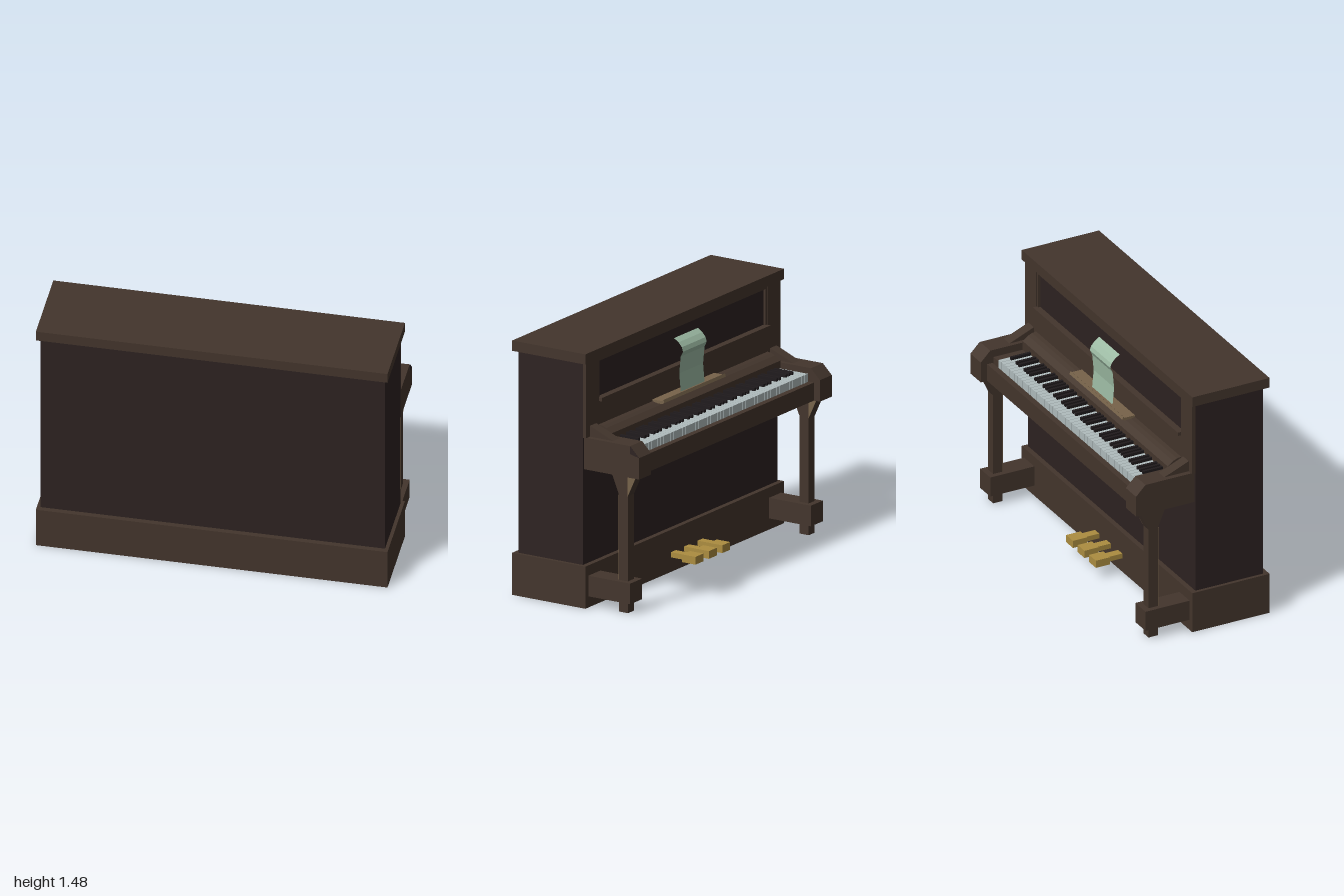
import * as THREE from 'three';

const mat = (name, color) => {
  const m = new THREE.MeshStandardMaterial({ color });
  m.name = name;
  return m;
};

export function createModel() {
  const root = new THREE.Group();
  root.name = 'uprightPiano';
  const brown = mat('brownWood', 0x43352c);
  const dark = mat('darkWood', 0x2d2221);
  const tan = mat('paleWood', 0x77634a);
  const ivory = mat('ivory', 0xb0bcbd);
  const ebony = mat('ebony', 0x1f1a1c);
  const gold = mat('brass', 0xac8d40);
  const paper = mat('paper', 0x9cbaa3);
  paper.side = THREE.DoubleSide;

  const add = (name, geo, m, parent = root) => {
    const mesh = new THREE.Mesh(geo, m);
    mesh.name = name;
    parent.add(mesh);
    return mesh;
  };
  // box from its limits
  const box = (name, m, x0, x1, y0, y1, z0, z1, parent) => {
    const mesh = add(name, new THREE.BoxGeometry(x1 - x0, y1 - y0, z1 - z0), m, parent);
    mesh.position.set((x0 + x1) / 2, (y0 + y1) / 2, (z0 + z1) / 2);
    return mesh;
  };
  // [z, y] outline stretched from x0 to x1
  const prism = (name, m, outline, x0, x1, parent) => {
    const shape = new THREE.Shape(outline.map(([z, y]) => new THREE.Vector2(-z, y)));
    const geo = new THREE.ExtrudeGeometry(shape, { depth: x1 - x0, bevelEnabled: false });
    geo.rotateY(Math.PI / 2).translate(x0, 0, 0);
    return add(name, geo, m, parent);
  };

  // case
  box('base', brown, -1, 1, 0, 0.245, -0.075, 0.415);
  box('body', dark, -0.98, 0.98, 0.245, 1.42, -0.045, 0.385);
  box('lid', brown, -1, 1, 1.42, 1.48, -0.075, 0.415);

  // upper front frame around the recessed dark panel
  box('frontBoard', brown, -0.85, 0.85, 0.9, 1.17, -0.065, -0.045);
  box('panelLedge', brown, -0.85, 0.85, 1.17, 1.19, -0.085, -0.045);
  box('panelTopMoulding', brown, -0.85, 0.85, 1.40, 1.42, -0.06, -0.045);

  // keyboard housing
  box('keyBed', brown, -0.85, 0.85, 0.8, 0.9, -0.36, -0.045);
  box('keySlip', brown, -0.85, 0.85, 0.8, 0.905, -0.375, -0.34);
  box('keyBlock', brown, 0.792, 0.85, 0.9, 0.94, -0.335, -0.14);
  prism('fallboard', brown,
    [[-0.06, 0.9], [-0.15, 0.9], [-0.15, 0.995], [-0.115, 1.02], [-0.09, 1.03], [-0.06, 1.035]], -0.85, 0.85);

  // keys: 52 white, black ones on the boundaries in groups of three and two
  const keys = new THREE.Group();
  keys.name = 'keys';
  root.add(keys);
  const left = -0.85, pitch = 1.64 / 52;
  for (let i = 0; i < 52; i++) {
    const x = left + i * pitch;
    box('whiteKey', ivory, x + 0.0015, x + pitch - 0.0015, 0.9, 0.95, -0.335, -0.14, keys);
    if (i > 0 && [0, 2, 3, 4, 6].includes(i % 7)) {
      box('blackKey', ebony, x - 0.008, x + 0.008, 0.94, 0.967, -0.275, -0.14, keys);
    }
  }

  // parts at both ends
  for (const s of [-1, 1]) {
    const end = new THREE.Group();
    end.name = s > 0 ? 'leftEnd' : 'rightEnd';
    root.add(end);
    const span = (a, b) => (s > 0 ? [a, b] : [-b, -a]);
    const [c0, c1] = span(0.85, 0.97);
    const [l0, l1] = span(0.88, 0.94);
    const [r0, r1] = span(0.875, 0.94);
    const [p0, p1] = span(0.85, 0.98);
    const [m0, m1] = span(0.837, 0.85);
    box('frontPost', brown, p0, p1, 0.985, 1.42, -0.065, -0.045, end);
    box('panelSideMoulding', brown, m0, m1, 1.19, 1.42, -0.06, -0.045, end);
    prism('cheek', brown,
      [[-0.045, 0.8], [-0.415, 0.8], [-0.415, 0.925], [-0.355, 0.985], [-0.045, 0.985]], c0, c1, end);
    prism('cheekRidge', brown, [[-0.06, 0.98], [-0.22, 0.985], [-0.06, 1.05]], r0, r1, end);

    // leg with flared top, standing through a foot block
    box('leg', brown, l0, l1, 0, 0.8, -0.32, -0.26, end);
    prism('legBracket', brown,
      [[-0.21, 0.8], [-0.26, 0.68], [-0.32, 0.68], [-0.375, 0.8]], l0, l1, end);
    box('legBackFace', tan, l0, l1, 0.185, 0.68, -0.26, -0.258, end);
    prism('bracketFace', tan, [[-0.32, 0.8], [-0.32, 0.68], [-0.375, 0.8]], l1, l1 + 0.002, end);
    box('footBlock', brown, c0, c1, 0.065, 0.185, -0.355, -0.07, end);
  }
  prism('cheekInlay', dark, [[-0.355, 0.985], [-0.355, 0.94], [-0.415, 0.925]], 0.97, 0.972);

  // music rest
  prism('musicRest', tan,
    [[-0.065, 1.028], [-0.13, 1.028], [-0.145, 1.036], [-0.139, 1.054], [-0.13, 1.045], [-0.065, 1.045]], -0.31, 0.31);

  // curled sheet swept across its width
  const profile = [[-0.115, 1.046], [-0.105, 1.15], [-0.115, 1.25], [-0.13, 1.28], [-0.122, 1.305], [-0.1, 1.33], [-0.07, 1.35]];
  const sheet = new THREE.PlaneGeometry(0.24, 1, 1, profile.length - 1);
  const pos = sheet.attributes.position;
  for (let i = 0; i < pos.count; i++) {
    const [z, y] = profile[profile.length - 1 - Math.floor(i / 2)];
    pos.setXYZ(i, (i % 2 ? -0.14 : 0.1), y, z);
  }
  const flatSheet = sheet.toNonIndexed();
  flatSheet.computeVertexNormals();
  add('sheetMusic', flatSheet, paper);

  // pedals
  for (const x of [-0.155, -0.02, 0.115]) {
    const pedal = new THREE.Group();
    pedal.name = 'pedal';
    root.add(pedal);
    box('pedalStem', gold, x - 0.025, x + 0.025, 0.085, 0.115, -0.17, -0.07, pedal);
    box('pedalPad', gold, x - 0.04, x + 0.04, 0.075, 0.12, -0.25, -0.16, pedal);
  }
  return root;
}
